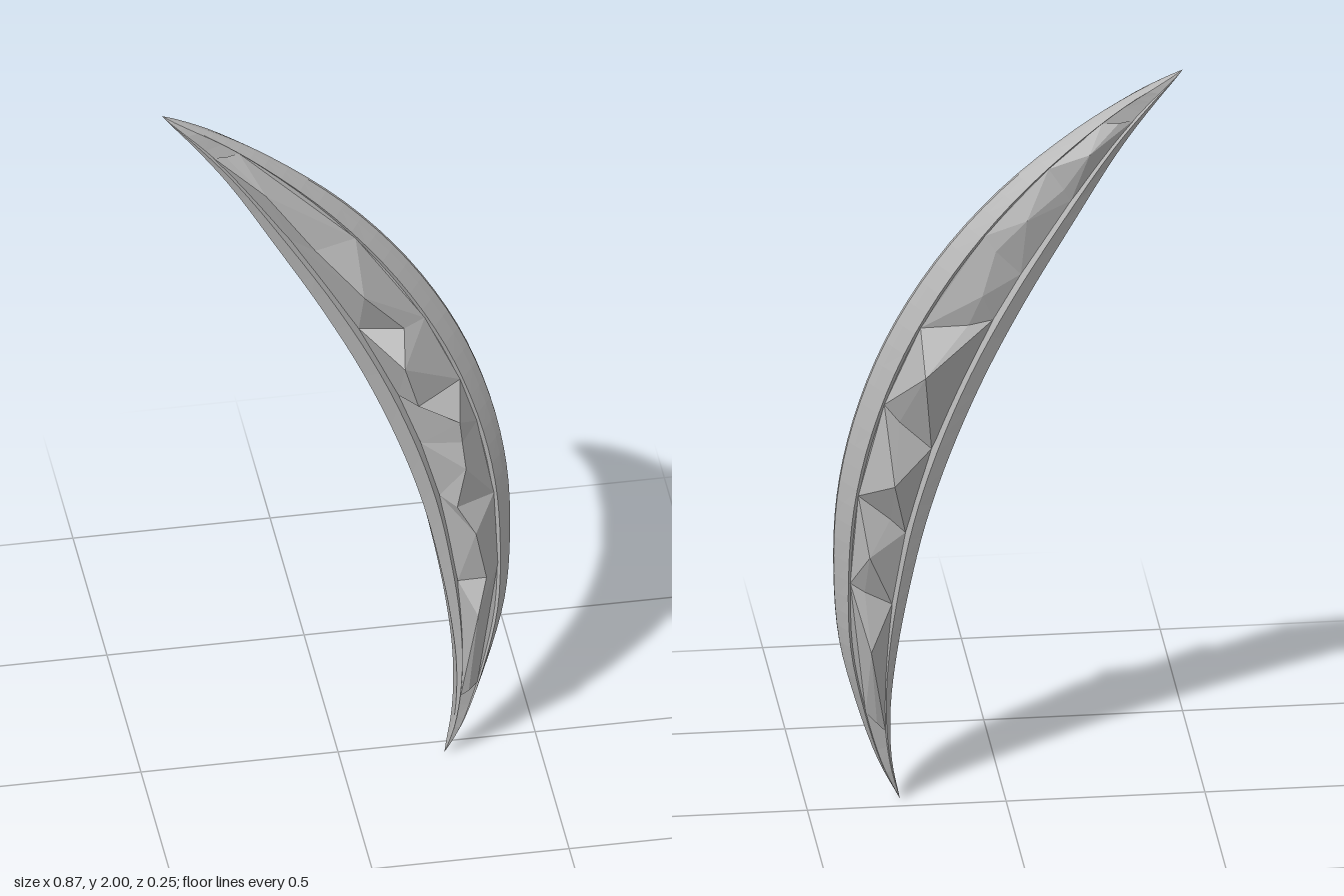
import * as THREE from 'three';

const curve = (pts) => new THREE.CatmullRomCurve3(pts.map(([x, y]) => new THREE.Vector3(x, y, 0)));

// matched points of the convex and the concave edge, from top tip to bottom tip
const outer = curve([[-0.44, 2], [-0.31, 1.935], [-0.17, 1.845], [0.02, 1.685], [0.18, 1.495], [0.305, 1.28], [0.385, 1.06],
  [0.425, 0.85], [0.432, 0.64], [0.417, 0.45], [0.372, 0.27], [0.317, 0.11], [0.262, 0]]);
const inner = curve([[-0.44, 2], [-0.37, 1.92], [-0.28, 1.8], [-0.16, 1.6], [-0.04, 1.39], [0.06, 1.19], [0.145, 0.98],
  [0.205, 0.79], [0.245, 0.61], [0.275, 0.43], [0.29, 0.27], [0.285, 0.12], [0.262, 0]]);

// the blade leans slightly in z from tip to tip
const lean = (y) => 0.045 - 0.0425 * y;
const thickness = (s) => Math.pow(Math.max(0, Math.sin(Math.PI * s)), 0.68);

// point at s along the blade and u across it
const at = (s, u) => inner.getPoint(s).lerp(outer.getPoint(s), u);
function surface(s, u, half) {
  const p = at(s, u);
  p.z = lean(p.y) + half * thickness(s);
  return p;
}

function geometryFrom(triangles) {
  const g = new THREE.BufferGeometry().setFromPoints(triangles);
  g.computeVertexNormals();
  return g;
}

// crescent frame: wide concave face, two rails with a groove between, narrow convex edge
function frameGeometry() {
  const N = 48;
  const side = [[0, 0.048], [0.15, 0.066], [0.2, 0.046], [0.79, 0.042], [0.83, 0.054], [0.94, 0.025], [1, 0.007]];
  const rings = [];
  for (let i = 0; i <= N; i++) {
    const s = i / N;
    const groove = THREE.MathUtils.smoothstep(Math.sin(Math.PI * s), 0.15, 0.35);
    const half = side.map(([u, h], k) => [u, k === 2 || k === 3 ? THREE.MathUtils.lerp(0.06, h, groove) : h]);
    const ring = [...half, ...half.slice().reverse().map(([u, h]) => [u, -h])];
    rings.push(ring.map(([u, h]) => surface(s, u, h)));
  }
  const tris = [];
  for (let i = 0; i < N; i++) {
    const m = rings[i].length;
    for (let j = 0; j < m; j++) {
      const k = (j + 1) % m;
      const [a, b, c, d] = [rings[i][j], rings[i + 1][j], rings[i][k], rings[i + 1][k]];
      tris.push(a, b, c, b, d, c);
    }
  }
  return geometryFrom(tris);
}

// crystals: a run of skewed pyramids; cuts are [s inner, s outer, ridge u, ridge height], peaks are [s, u, z]
function crystalGeometry(cuts, peaks, sign) {
  const base = cuts.map(([si, so, u, ridge]) => [
    surface(si, 0.2, sign * 0.05),
    surface(si + (so - si) * u, u, sign * ridge),
    surface(so, 0.8, sign * 0.045),
  ]);
  const tris = [];
  peaks.forEach(([s, u, z], k) => {
    const apex = at(s, u);
    apex.z = z;
    const [i0, m0, o0] = base[k];
    const [i1, m1, o1] = base[k + 1];
    const loop = [i0, i1, m1, o1, o0, m0];
    loop.forEach((p, j) => {
      const q = loop[(j + 1) % loop.length];
      if (sign > 0) tris.push(apex, p, q);
      else tris.push(apex, q, p);
    });
  });
  return geometryFrom(tris);
}

export function createModel() {
  const model = new THREE.Group();
  model.name = 'crescentBlade';
  const stone = new THREE.MeshStandardMaterial({ color: 0xb4b4b4, flatShading: true });
  stone.name = 'grey stone';

  const add = (name, geometry) => {
    const mesh = new THREE.Mesh(geometry, stone);
    mesh.name = name;
    model.add(mesh);
  };

  add('crescentFrame', frameGeometry());

  add('frontCrystals', crystalGeometry(
    [[0.12, 0.13, 0.5, 0.06], [0.25, 0.28, 0.4, 0.1], [0.365, 0.385, 0.6, 0.085], [0.45, 0.46, 0.35, 0.112],
      [0.51, 0.51, 0.6, 0.108], [0.58, 0.6, 0.35, 0.1], [0.7, 0.69, 0.6, 0.085], [0.88, 0.86, 0.5, 0.06]],
    [[0.19, 0.45, 0.035], [0.32, 0.5, 0.1], [0.405, 0.42, 0.125], [0.485, 0.65, 0.118],
      [0.54, 0.55, 0.121], [0.625, 0.5, 0.12], [0.735, 0.42, 0.125]], 1));

  add('backCrystals', crystalGeometry(
    [[0.12, 0.14, 0.5, 0.06], [0.23, 0.21, 0.4, 0.06], [0.31, 0.29, 0.6, 0.06], [0.36, 0.39, 0.4, 0.056],
      [0.5, 0.47, 0.6, 0.05], [0.6, 0.57, 0.4, 0.05], [0.69, 0.67, 0.6, 0.052], [0.87, 0.84, 0.5, 0.06]],
    [[0.18, 0.5, -0.085], [0.26, 0.55, -0.085], [0.34, 0.45, -0.08], [0.425, 0.6, -0.125],
      [0.54, 0.5, -0.112], [0.63, 0.6, -0.072], [0.745, 0.5, -0.065]], -1));

  return model;
}
